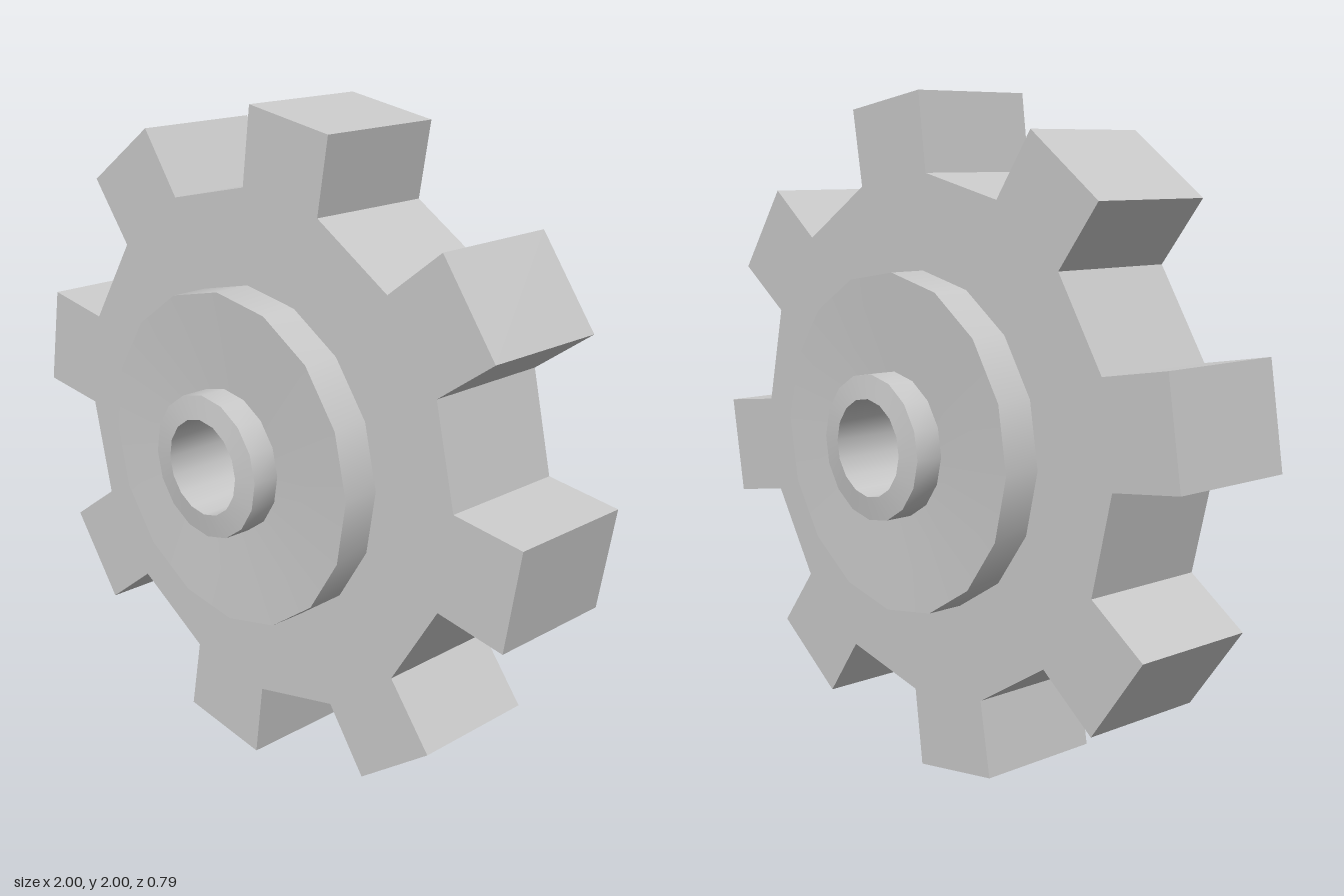
import * as THREE from 'three';
import { toCreasedNormals } from 'three/addons/utils/BufferGeometryUtils.js';

const TEETH = 8;
const SIDES = 16;

// Toothed ring: one tooth outline repeated around the axis
function gearGeometry(halfDepth, holeRadius) {
  const tooth = [[-0.03, 0.77], [0, 1], [0.304, 0.951], [0.265, 0.727]];
  const outline = [];
  for (let i = 0; i < TEETH; i++) {
    const turn = -i * Math.PI * 2 / TEETH;
    for (const [x, y] of tooth) {
      outline.push(new THREE.Vector2(x, y).rotateAround(new THREE.Vector2(), turn));
    }
  }
  const shape = new THREE.Shape(outline);
  shape.holes.push(new THREE.Path().absarc(0, 0, holeRadius, 0, Math.PI * 2, true));
  const geometry = new THREE.ExtrudeGeometry(shape, {
    depth: halfDepth * 2, bevelEnabled: false, curveSegments: SIDES / 2,
  });
  return geometry.translate(0, 0, -halfDepth);
}

// Stepped hub with a through bore, mirrored front to back
function hubGeometry() {
  const half = [
    [0.495, 0.315], // disc rim
    [0.212, 0.30],  // slightly dished disc face
    [0.212, 0.385], // collar
    [0.142, 0.395], // bore edge
  ];
  const back = half.map(([r, z]) => [r, -z]).reverse();
  const profile = [...back, ...half, back[0]].map(([r, z]) => new THREE.Vector2(r, z));
  const lathe = new THREE.LatheGeometry(profile, SIDES, THREE.MathUtils.degToRad(1.8));
  return toCreasedNormals(lathe.rotateX(Math.PI / 2), Math.PI / 6);
}

export function createModel() {
  const group = new THREE.Group();
  group.name = 'gearWheel';
  const material = new THREE.MeshStandardMaterial({ color: 0xcccccc });

  const gear = new THREE.Mesh(gearGeometry(0.2, 0.35), material);
  gear.name = 'toothedRing';

  const hub = new THREE.Mesh(hubGeometry(), material);
  hub.name = 'hub';

  for (const part of [gear, hub]) {
    part.position.y = 1;
    group.add(part);
  }
  return group;
}
